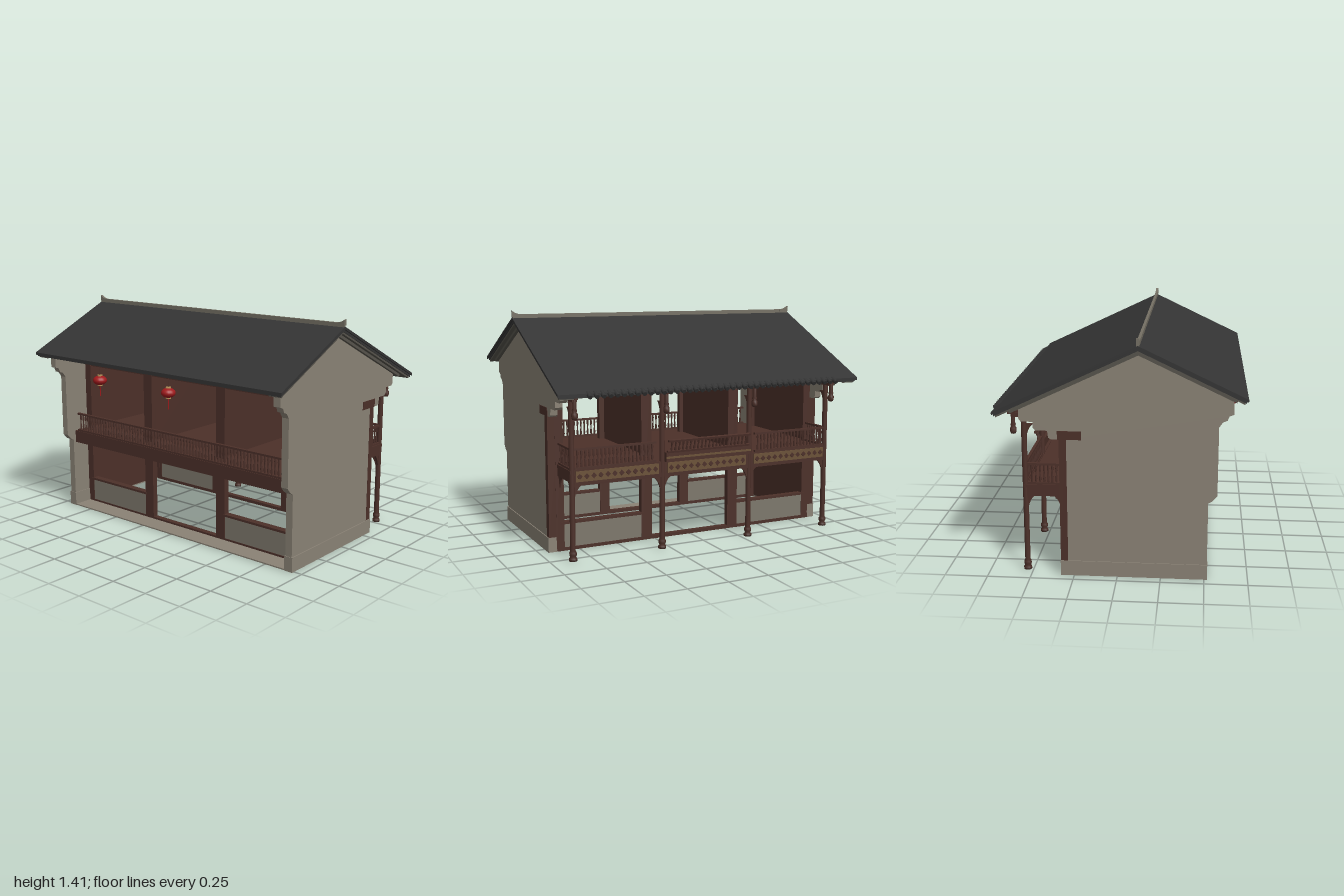
import * as THREE from 'three';

const mat = (name, color, side = THREE.FrontSide) => {
  const m = new THREE.MeshStandardMaterial({ color, side });
  m.name = name;
  return m;
};

export function createModel() {
  const root = new THREE.Group();
  root.name = 'balconyHouse';
  const plaster = mat('greyPlaster', 0x8a8275);
  const timber = mat('darkTimber', 0x4c3029);
  const tile = mat('roofTile', 0x343434);
  const trim = mat('eaveTrim', 0x56534b);
  const ridgeMat = mat('ridgeStone', 0x757064);
  const stone = mat('lowWallStone', 0x7d786c);
  const carving = mat('carvedPanel', 0x6b5238);
  const gold = mat('paleGold', 0xb8935a);
  const red = mat('lanternRed', 0xa01a1c);

  const add = (name, m, geo, parent = root) => {
    const mesh = new THREE.Mesh(geo, m);
    mesh.name = name;
    parent.add(mesh);
    return mesh;
  };
  // Box from its limits
  const box = (name, m, x0, x1, y0, y1, z0, z1, parent = root) => {
    const b = add(name, m, new THREE.BoxGeometry(x1 - x0, y1 - y0, z1 - z0), parent);
    b.position.set((x0 + x1) / 2, (y0 + y1) / 2, (z0 + z1) / 2);
    return b;
  };
  // Outline in x,y drawn out along z
  const prism = (name, m, pts, z0, z1, parent = root) => {
    const shape = new THREE.Shape(pts.map(p => new THREE.Vector2(p[0], p[1])));
    const g = new THREE.ExtrudeGeometry(shape, { depth: z1 - z0, bevelEnabled: false });
    const p = add(name, m, g, parent);
    p.position.z = z0;
    return p;
  };
  const RX = -0.12;
  const roofY = x => 1.37 - 0.474 * Math.abs(x - RX);
  // Folded slab following both roof slopes, between two depths below the tiles
  const chevron = (name, m, xa, xb, top, bottom, z0, z1) => prism(name, m, [
    [xa, roofY(xa) - bottom], [RX, 1.37 - bottom], [xb, roofY(xb) - bottom],
    [xb, roofY(xb) - top], [RX, 1.37 - top], [xa, roofY(xa) - top]], z0, z1);

  // Roof
  chevron('roofTiles', tile, -0.72, 0.69, 0, 0.016, -1, 1);
  chevron('roofUnderTiles', tile, -0.71, 0.68, 0.016, 0.03, -0.99, 0.99);
  chevron('roofBoards', timber, -0.68, 0.655, 0.03, 0.042, -0.9, 0.9);
  for (const s of [-1, 1]) {
    const a = s > 0 ? 0.9 : -0.985, b = s > 0 ? 0.985 : -0.9;
    chevron('bargeBoard', trim, -0.7, 0.67, 0.03, 0.042, a, b);
    chevron('bargeMoulding', trim, -0.66, 0.6, 0.042, 0.06, s > 0 ? 0.9 : -0.96, s > 0 ? 0.96 : -0.9);
  }
  const capGeo = new THREE.CylinderGeometry(0.013, 0.013, 0.05, 8);
  const slope = Math.atan(0.474);
  for (let i = -20; i <= 20; i++) {
    const c = add('eaveTile', tile, capGeo);
    c.position.set(0.691, roofY(0.691) - 0.008, i * 0.041);
    c.rotation.z = Math.PI / 2 - slope;
  }
  box('ridge', ridgeMat, RX - 0.008, RX + 0.008, 1.36, 1.39, -0.995, 0.995);
  for (const s of [-1, 1]) {
    const shape = new THREE.Shape();
    shape.moveTo(0.93, 1.375);
    shape.lineTo(1, 1.375);
    shape.lineTo(1, 1.412);
    shape.quadraticCurveTo(0.975, 1.39, 0.93, 1.389);
    const g = new THREE.ExtrudeGeometry(shape, { depth: 0.018, bevelEnabled: false });
    const e = add('ridgeEnd', ridgeMat, g);
    e.rotation.y = s > 0 ? -Math.PI / 2 : Math.PI / 2;
    e.position.x = RX + s * 0.009;
  }
  for (const x of [-0.6, -0.37, -0.12, 0.1, 0.31, 0.535, 0.6]) {
    box('purlin', timber, x - 0.012, x + 0.012, roofY(x) - 0.075, roofY(x) - 0.038, -0.9, 0.9);
  }

  // Gable walls with stepped corbels
  const wallPts = [[-0.515, 0], [0.325, 0], [0.325, 0.09], [0.285, 0.09], [0.285, 0.82],
    [0.37, 0.82], [0.385, 0.83], [0.39, 0.87], [0.455, 0.87], [0.47, 0.885], [0.47, 0.92],
    [0.535, 0.92], [0.55, 0.935], [0.55, roofY(0.55) - 0.035], [RX, 1.335],
    [-0.645, roofY(-0.645) - 0.035], [-0.645, 0.985], [-0.62, 0.975], [-0.61, 0.95],
    [-0.585, 0.94], [-0.565, 0.91], [-0.565, 0.51], [-0.54, 0.48], [-0.515, 0.465]];
  for (const s of [-1, 1]) {
    const z = (a, b) => s > 0 ? [a, b] : [-b, -a];
    prism('gableWall', plaster, wallPts, ...z(0.895, 0.94));
    box('plinth', plaster, -0.518, 0.328, 0, 0.09, ...z(0.89, 0.946));
    prism('gableLining', timber, [[-0.37, 0.01], [0.3, 0.01], [0.3, roofY(0.3) - 0.04],
      [RX, 1.33], [-0.37, roofY(-0.37) - 0.04]], ...z(0.888, 0.895));
    box('cornerPost', timber, 0.285, 0.327, 0.09, 0.87, ...z(0.86, 0.941));
    box('cornerBeam', timber, 0.2, 0.335, 0.82, 0.87, ...z(0.9, 0.943));
    box('tieBeam', timber, 0.31, 0.6, 0.93, 0.955, ...z(0.855, 0.885));
    // Upper room partition
    prism('partition', timber, [[-0.37, 0.5], [0.31, 0.5], [0.31, roofY(0.31) - 0.04],
      [RX, 1.33], [-0.37, roofY(-0.37) - 0.04]], ...z(0.295, 0.305));
  }

  // Ground slab along the back, sill frame and upper floor
  box('backPorchSlab', plaster, -0.515, -0.37, 0, 0.008, -0.895, 0.895);
  box('upperFloor', timber, -0.5, 0.32, 0.5, 0.53, -0.89, 0.89);
  box('backFloorBeam', timber, -0.5, -0.475, 0.45, 0.53, -0.89, 0.89);

  // Long walls: posts, low walls, sills and lintels
  for (const [x, top] of [[0.31, 1.13], [-0.37, 1.2]]) {
    const a = x - 0.018, b = x + 0.018;
    box('threshold', timber, a, b, 0, 0.02, -0.89, 0.89);
    box('floorBeam', timber, a, b, 0.44, 0.53, -0.89, 0.89);
    box('headWall', timber, a + 0.008, b - 0.008, 0.965, top, -0.89, 0.89);
    for (const s of [-1, 1]) {
      box('wallPost', timber, a, b, 0, top, s * 0.305 - 0.035, s * 0.305 + 0.035);
      box('endPost', timber, a, b, 0, top, s * 0.87 - 0.025, s * 0.87 + 0.025);
      box('lowWall', stone, a + 0.003, b - 0.003, 0.01, 0.165, s * 0.6 - 0.27, s * 0.6 + 0.27);
      box('sill', timber, a - 0.004, b + 0.004, 0.163, 0.177, s * 0.6 - 0.27, s * 0.6 + 0.27);
    }
  }
  for (let i = -8; i <= 8; i++) {
    box('friezePanel', gold, 0.328, 0.332, 0.455, 0.495, i * 0.1 - 0.042, i * 0.1 + 0.042);
  }

  // Turned baluster railing between two points in plan
  const balGeo = new THREE.LatheGeometry([[0.004, 0], [0.007, 0.25], [0.004, 0.45], [0.004, 0.55],
    [0.007, 0.75], [0.004, 1]].map(p => new THREE.Vector2(...p)), 6);
  const railing = (x0, z0, x1, z1, y0, y1, lean = 0) => {
    const g = new THREE.Group();
    g.name = 'railing';
    const len = Math.hypot(x1 - x0, z1 - z0), n = Math.round(len / 0.025);
    const h = y1 - y0;
    for (let i = 1; i < n; i++) {
      const b = add('baluster', timber, balGeo, g);
      b.position.set(-len / 2 + len * i / n, 0, 0);
      b.scale.y = h;
    }
    box('topRail', timber, -len / 2, len / 2, h - 0.012, h, -0.009, 0.009, g);
    box('bottomRail', timber, -len / 2, len / 2, 0, 0.012, -0.009, 0.009, g);
    g.position.set((x0 + x1) / 2, y0, (z0 + z1) / 2);
    g.rotation.order = 'YXZ';
    g.rotation.y = -Math.atan2(z1 - z0, x1 - x0);
    g.rotation.x = lean;
    root.add(g);
  };

  // Balcony deck, beams and carved fascia
  box('balconyDeck', timber, 0.32, 0.545, 0.51, 0.53, -0.885, 0.885);
  box('balconyBeam', timber, 0.522, 0.546, 0.44, 0.535, -0.88, 0.88);
  for (const [z0, z1] of [[-0.85, -0.33], [-0.27, 0.27], [0.33, 0.85]]) {
    box('carvedFascia', carving, 0.546, 0.552, 0.463, 0.525, z0, z1);
    const n = Math.round((z1 - z0) / 0.045);
    for (let i = 0; i < n; i++) {
      const d = box('carvedDiamond', timber, 0.55, 0.555, -0.012, 0.012, -0.012, 0.012);
      d.position.set(0.5525, 0.494, z0 + (i + 0.5) * (z1 - z0) / n);
      d.rotation.x = Math.PI / 4;
    }
  }
  for (const s of [-1, 1]) {
    railing(0.535, s * 0.34, 0.535, s * 0.86, 0.535, 0.657);
    railing(0.33, s * 0.87, 0.52, s * 0.87, 0.53, 0.657);
    box('balconyEndBeam', timber, 0.32, 0.53, 0.46, 0.53, s * 0.87 - 0.012, s * 0.87 + 0.012);
    box('innerDeckBeam', timber, 0.32, 0.53, 0.46, 0.53, s * 0.305 - 0.012, s * 0.305 + 0.012);
  }
  // Projecting bench with leaning back in the middle bay
  box('benchFront', timber, 0.54, 0.573, 0.533, 0.59, -0.29, 0.29);
  box('benchMoulding', carving, 0.573, 0.577, 0.553, 0.565, -0.29, 0.29);
  railing(0.565, 0.28, 0.565, -0.28, 0.588, 0.668, 0.22);
  railing(-0.487, -0.87, -0.487, 0.87, 0.53, 0.655);

  // Balcony columns on turned bases, brackets and hanging posts
  const colGeo = new THREE.LatheGeometry([[0, 0], [0.024, 0], [0.024, 0.015], [0.016, 0.022],
    [0.022, 0.035], [0.022, 0.05], [0.016, 0.06], [0.016, 0.99], [0, 0.99]]
    .map(p => new THREE.Vector2(...p)), 12);
  const pendGeo = new THREE.LatheGeometry([[0, 0], [0.014, 0.003], [0.019, 0.015], [0.019, 0.035],
    [0.012, 0.045], [0.016, 0.055], [0.012, 0.065], [0.012, 0.15], [0, 0.15]]
    .map(p => new THREE.Vector2(...p)), 10);
  const bracket = new THREE.Shape();
  bracket.moveTo(0, 0);
  bracket.lineTo(0, -0.07);
  bracket.quadraticCurveTo(0.012, -0.02, 0.04, 0);
  const brGeo = new THREE.ExtrudeGeometry(bracket, { depth: 0.012, bevelEnabled: false });
  brGeo.translate(0, 0, -0.006);
  const brace = (x, y, z, turn) => {
    const b = add('bracket', timber, brGeo);
    b.position.set(x, y, z);
    b.rotation.y = turn;
  };
  for (const z of [-0.87, -0.3, 0.3, 0.87]) {
    add('balconyColumn', timber, colGeo).position.set(0.535, 0, z);
    add('hangingPost', timber, pendGeo).position.set(0.595, 0.828, z);
    box('eaveArm', timber, 0.31, 0.625, 0.945, 0.968, z - 0.01, z + 0.01);
    for (const y of [0.46, 0.89]) brace(0.52, y, z, Math.PI);
    brace(0.33, 0.46, z, 0);
    if (z < 0.8) brace(0.535, 0.44, z + 0.014, -Math.PI / 2);
    if (z > -0.8) brace(0.535, 0.44, z - 0.014, Math.PI / 2);
  }
  box('eaveBeam', timber, 0.585, 0.605, 0.955, 0.985, -0.89, 0.89);
  box('columnHeadBeam', timber, 0.522, 0.548, 0.965, 1.01, -0.89, 0.89);

  // Lanterns under the back eave
  for (const z of [-0.47, 0.12]) {
    const l = new THREE.Group();
    l.name = 'lantern';
    const body = add('lanternBody', red, new THREE.SphereGeometry(0.044, 16, 12), l);
    body.scale.y = 0.68;
    for (const y of [-0.03, 0.03]) {
      add('lanternCap', gold, new THREE.CylinderGeometry(0.016, 0.016, 0.01, 12), l).position.y = y;
    }
    add('tassel', red, new THREE.CylinderGeometry(0.003, 0.004, 0.07, 6), l).position.y = -0.067;
    add('cord', timber, new THREE.CylinderGeometry(0.002, 0.002, 0.1, 5), l).position.y = 0.08;
    l.position.set(-0.645, 0.955, z);
    root.add(l);
  }
  return root;
}
